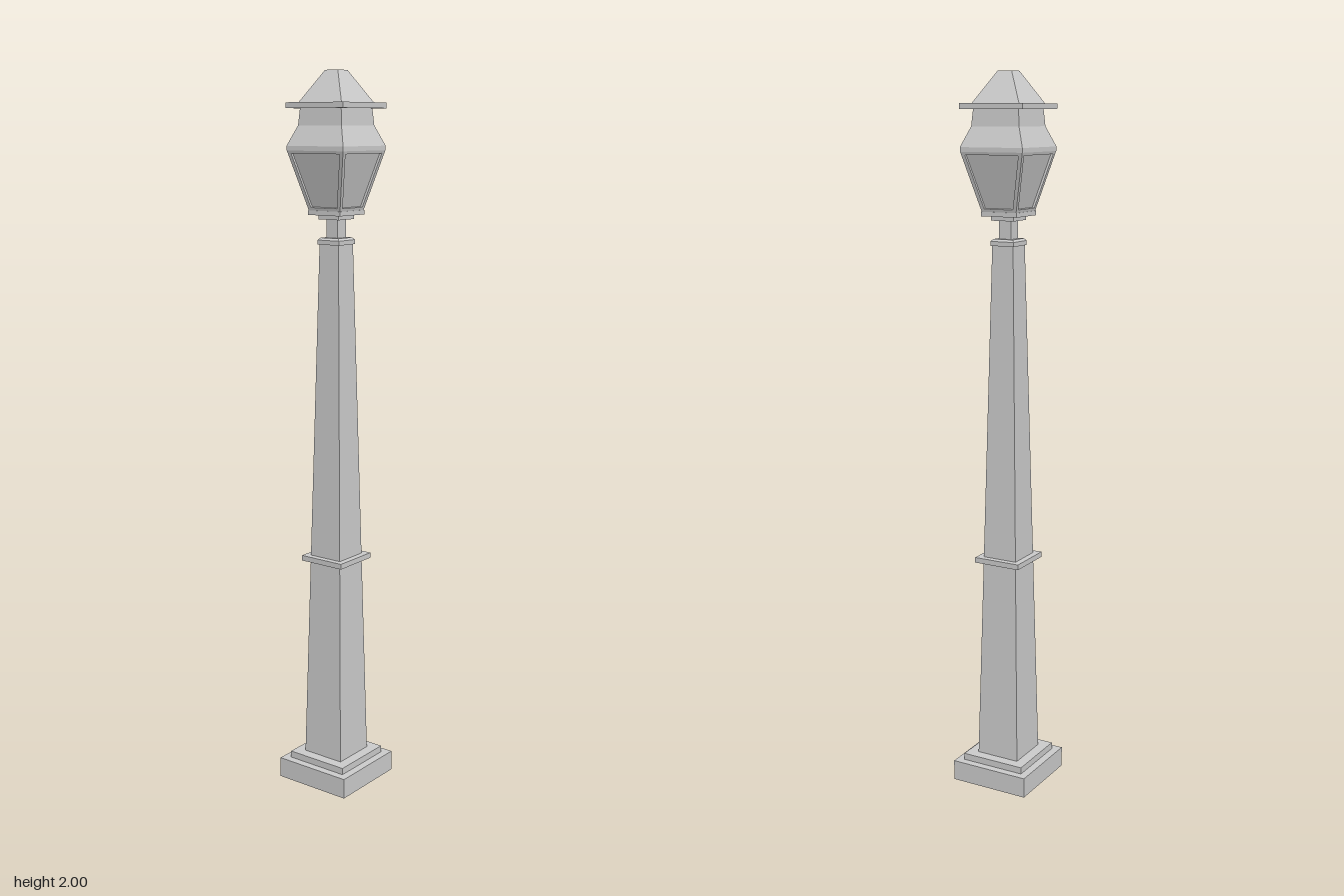
import * as THREE from 'three';

const material = new THREE.MeshStandardMaterial({ color: 0xcccccc, flatShading: true });

// Closed square-section solid from [half width, height] pairs, bottom to top
function squareSolid(name, profile) {
  const points = profile.map(([half, y]) => new THREE.Vector2(half * Math.SQRT2, y));
  points.unshift(new THREE.Vector2(0, profile[0][1]));
  points.push(new THREE.Vector2(0, profile[profile.length - 1][1]));
  const geometry = new THREE.LatheGeometry(points, 4, Math.PI / 4).toNonIndexed();
  geometry.computeVertexNormals();
  const mesh = new THREE.Mesh(geometry, material);
  mesh.name = name;
  return mesh;
}

// Trapezoid outline standing on y = 0
function trapezoid(path, bottomHalf, topHalf, y0, y1) {
  path.moveTo(-bottomHalf, y0);
  path.lineTo(bottomHalf, y0);
  path.lineTo(topHalf, y1);
  path.lineTo(-topHalf, y1);
  path.closePath();
  return path;
}

// Four sloping window frames around the lantern
function windowFrames(bottomHalf, topHalf, y0, y1) {
  const group = new THREE.Group();
  group.name = 'windowFrames';
  const slope = topHalf - bottomHalf;
  const length = Math.hypot(slope, y1 - y0);
  const depth = 0.007, rail = 0.01, post = 0.011;
  const halfAt = (t) => bottomHalf + slope * t / length - post;

  const shape = trapezoid(new THREE.Shape(), bottomHalf, topHalf, 0, length);
  shape.holes.push(trapezoid(new THREE.Path(), halfAt(rail), halfAt(length - rail), rail, length - rail));
  const geometry = new THREE.ExtrudeGeometry(shape, { depth, bevelEnabled: false });
  geometry.translate(0, 0, -depth);
  geometry.rotateX(Math.atan2(slope, y1 - y0));
  geometry.translate(0, y0, bottomHalf);

  for (let i = 0; i < 4; i++) {
    const frame = new THREE.Mesh(geometry, material);
    frame.name = 'windowFrame' + (i + 1);
    frame.rotation.y = i * Math.PI / 2;
    group.add(frame);
  }
  return group;
}

export function createModel() {
  const model = new THREE.Group();
  model.name = 'lampPost';

  // Stepped foot
  model.add(squareSolid('plinth', [[0.116, 0], [0.116, 0.058]]));
  model.add(squareSolid('plinthStep', [[0.094, 0.058], [0.094, 0.077]]));

  // Tapering post with its band and cap
  model.add(squareSolid('post', [[0.064, 0.077], [0.032, 1.55]]));
  model.add(squareSolid('postBand', [[0.069, 0.657], [0.069, 0.672]]));
  model.add(squareSolid('postCap', [[0.036, 1.545], [0.036, 1.557], [0.03, 1.563]]));
  model.add(squareSolid('neck', [[0.019, 1.555], [0.019, 1.62]]));

  // Lantern
  model.add(squareSolid('lanternSeat', [[0.034, 1.612], [0.034, 1.625]]));
  model.add(squareSolid('lanternTray', [[0.054, 1.624], [0.054, 1.636]]));
  model.add(squareSolid('lanternGlass', [[0.046, 1.636], [0.087, 1.794]]));
  model.add(windowFrames(0.052, 0.094, 1.634, 1.795));
  model.add(squareSolid('lanternHood', [[0.094, 1.793], [0.094, 1.805], [0.072, 1.858], [0.068, 1.905]]));

  // Roof
  model.add(squareSolid('roofBrim', [[0.095, 1.902], [0.095, 1.917]]));
  model.add(squareSolid('roof', [[0.071, 1.917], [0.021, 2]]));
  return model;
}
